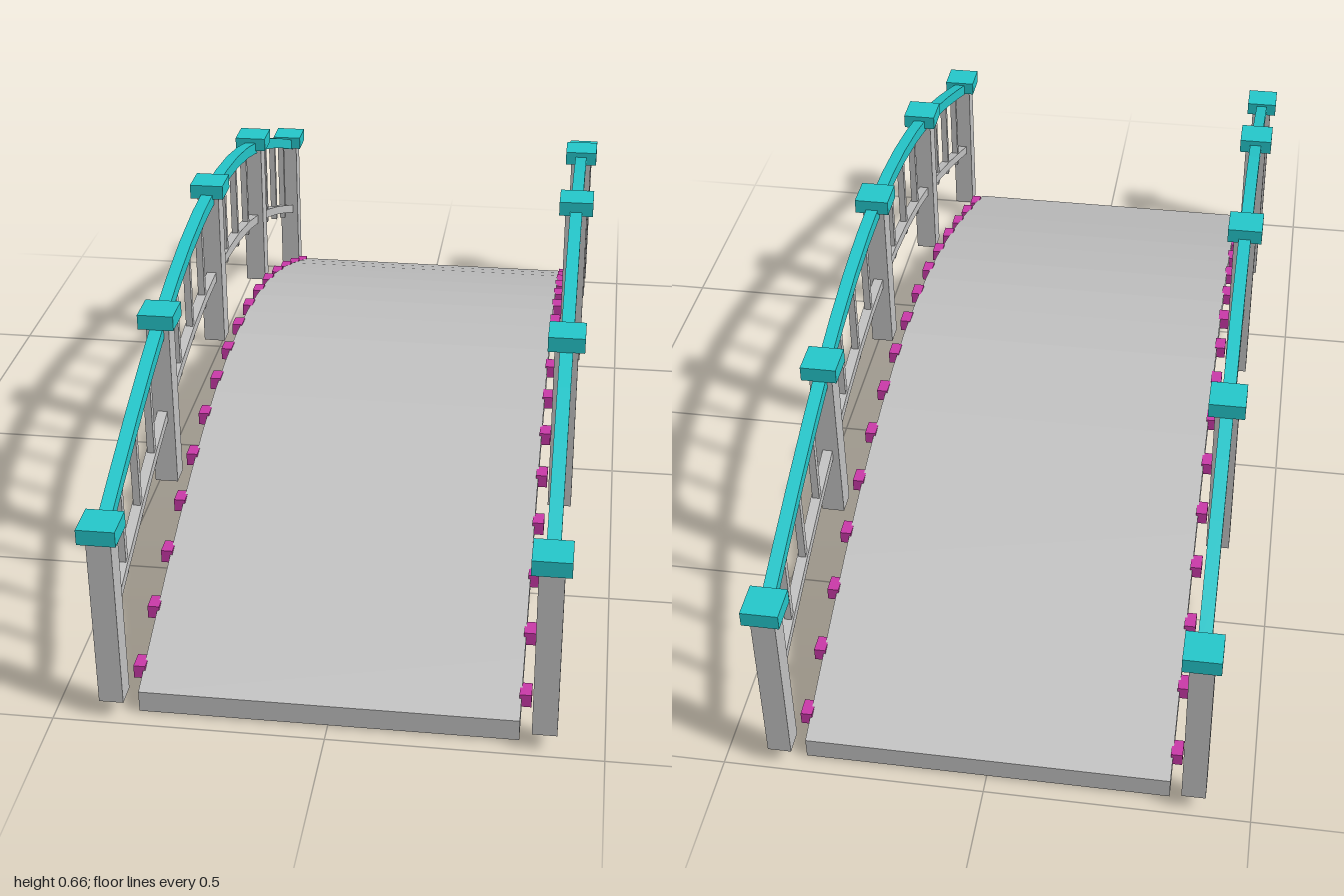
import * as THREE from 'three';

const material = (name, color) => {
  const m = new THREE.MeshStandardMaterial({ color });
  m.name = name;
  return m;
};

const HALF = 0.965;   // half length of the span
const RAIL_X = 0.392; // railing distance from the centre line
const rise = (z) => 0.25 * Math.cos((z / HALF) * Math.PI / 2);

export function createModel() {
  const bridge = new THREE.Group();
  bridge.name = 'archedBridge';
  const stone = material('stoneGrey', 0xc4c4c4);
  const teal = material('tealTrim', 0x25c9cd);
  const magenta = material('magentaBlocks', 0xcc3aaa);

  const add = (name, geometry, mat, x = 0, y = 0, z = 0, parent = bridge) => {
    const mesh = new THREE.Mesh(geometry, mat);
    mesh.name = name;
    mesh.position.set(x, y, z);
    parent.add(mesh);
  };

  // Arched strip along z, with its underside and top following the rise
  const arch = (bottom, top, width, segments) => {
    const lower = [], upper = [];
    for (let i = 0; i <= segments; i++) {
      const z = -HALF + (2 * HALF * i) / segments;
      lower.push(new THREE.Vector2(z, bottom + rise(z)));
      upper.unshift(new THREE.Vector2(z, top + rise(z)));
    }
    const shape = new THREE.Shape([...lower, ...upper]);
    const geometry = new THREE.ExtrudeGeometry(shape, { depth: width, bevelEnabled: false });
    return geometry.translate(0, 0, -width / 2).rotateY(-Math.PI / 2);
  };

  // Walkway
  add('deck', arch(0.004, 0.046, 0.694, 16), stone);

  const topRail = arch(0.364, 0.39, 0.025, 16);
  const lowerRail = arch(0.182, 0.203, 0.02, 16);
  const post = new THREE.BoxGeometry(0.045, 0.345, 0.045);
  const cap = new THREE.BoxGeometry(0.07, 0.03, 0.07);
  const baluster = new THREE.BoxGeometry(0.014, 0.205, 0.014);
  const block = new THREE.BoxGeometry(0.022, 0.026, 0.036);
  const pillar = new THREE.BoxGeometry(0.072, 0.185, 0.095);

  for (const side of [-1, 1]) {
    const railing = new THREE.Group();
    railing.name = side > 0 ? 'leftRailing' : 'rightRailing';
    railing.position.x = side * RAIL_X;
    bridge.add(railing);

    add('topRail', topRail, teal, 0, 0, 0, railing);
    add('lowerRail', lowerRail, stone, 0, 0, 0, railing);

    // Capped posts at each quarter, three balusters between them
    for (let i = 0; i <= 16; i++) {
      const z = -HALF + (HALF * i) / 8;
      const y = rise(z);
      if (i % 4 === 0) {
        add('post', post, stone, 0, 0.2095 + y, z, railing);
        add('postCap', cap, teal, 0, 0.395 + y, z, railing);
      } else {
        add('baluster', baluster, stone, 0, 0.2725 + y, z, railing);
      }
    }

    // Small blocks along the deck edge
    for (let i = 0; i < 16; i++) {
      const z = -HALF + (HALF * (i + 0.5)) / 8;
      add('edgeBlock', block, magenta, side * 0.354, 0.034 + rise(z), z);
    }

    // Supports under the deck
    for (const z of [-HALF / 2, HALF / 2]) {
      add('supportPillar', pillar, stone, side * 0.297, 0.0925, z);
    }
  }
  return bridge;
}
